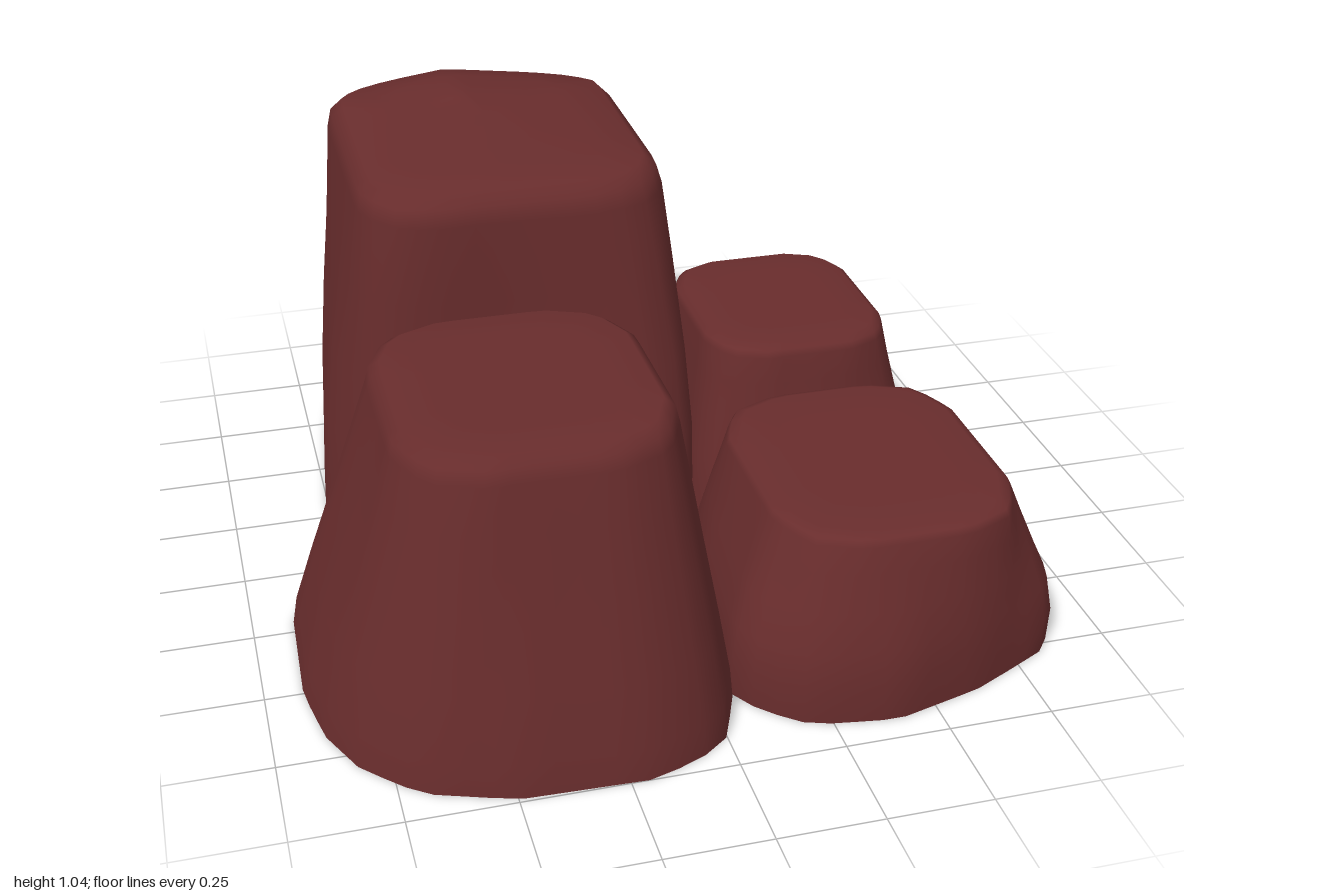
import * as THREE from 'three';

const SIDES = 48;
const BASE_Y = 0.018;

// distance from a centre to a closed outline along an angle
function reach(outline, [cx, cz], angle) {
  const dx = Math.cos(angle), dz = Math.sin(angle);
  let best = 0;
  outline.forEach(([x1, z1], i) => {
    const [x2, z2] = outline[(i + 1) % outline.length];
    const ex = x2 - x1, ez = z2 - z1, px = x1 - cx, pz = z1 - cz;
    const det = ex * dz - ez * dx;
    if (Math.abs(det) < 1e-9) return;
    const t = (ex * pz - ez * px) / det;
    const u = (dx * pz - dz * px) / det;
    if (t > 0 && u >= -1e-6 && u <= 1 + 1e-6) best = Math.max(best, t);
  });
  return best;
}

// rectangle with cut corners: the shoulder outline of a rock
function cutRect([x0, x1, z0, z1], c) {
  const d = c * 0.3;
  return [
    [x0 + c, z0], [x1 - c, z0], [x1 - d, z0 + d], [x1, z0 + c],
    [x1, z1 - c], [x1 - d, z1 - d], [x1 - c, z1], [x0 + c, z1],
    [x0 + d, z1 - d], [x0, z1 - c], [x0, z0 + c], [x0 + d, z0 + d],
  ];
}

// loft from the ground outline to the shoulder, then over the crown
function rockGeometry({ base, top, cut, height, profile, swell }) {
  const shoulder = cutRect(top, cut);
  const topC = [(top[0] + top[1]) / 2, (top[2] + top[3]) / 2];
  const xs = base.map(p => p[0]), zs = base.map(p => p[1]);
  const baseC = [(Math.min(...xs) + Math.max(...xs)) / 2, (Math.min(...zs) + Math.max(...zs)) / 2];
  const pos = [], idx = [];
  const put = (x, z, f) => pos.push(x, BASE_Y + f * (height(x, z) - BASE_Y), z);

  // each ring: height fraction, blend to shoulder, crown scale
  const rings = [...profile.map(([f, t]) => [f, t, 1]),
    [0.975, 1, 0.975], [1, 1, 0.9], [1, 1, 0.6], [1, 1, 0.3]];
  for (const [f, t, s] of rings) {
    for (let i = 0; i < SIDES; i++) {
      const a = (i / SIDES) * Math.PI * 2;
      const rb = reach(base, baseC, a), rt = reach(shoulder, topC, a) * s;
      const at = (k, trig) => (baseC[k] + rb * trig) * (1 - t) + (topC[k] + rt * trig) * t;
      const bulge = swell * Math.max(0, Math.cos(a)) * Math.sin(Math.PI * f);
      put(at(0, Math.cos(a)) + bulge, at(1, Math.sin(a)), f);
    }
  }
  for (let r = 0; r < rings.length - 1; r++) {
    for (let i = 0; i < SIDES; i++) {
      const a = r * SIDES + i, b = r * SIDES + (i + 1) % SIDES;
      const c = a + SIDES, d = b + SIDES;
      idx.push(a, c, b, b, c, d);
    }
  }
  // crown centre
  const last = (rings.length - 1) * SIDES, crown = pos.length / 3;
  put(topC[0], topC[1], 1);
  for (let i = 0; i < SIDES; i++) idx.push(crown, last + (i + 1) % SIDES, last + i);
  // underside, with its own vertices for a sharp rim
  const rim = pos.length / 3;
  pos.push(...pos.slice(0, SIDES * 3), baseC[0], BASE_Y, baseC[1]);
  for (let i = 0; i < SIDES; i++) idx.push(rim + SIDES, rim + i, rim + (i + 1) % SIDES);

  const g = new THREE.BufferGeometry();
  g.setAttribute('position', new THREE.Float32BufferAttribute(pos, 3));
  g.setIndex(idx);
  g.computeVertexNormals();
  return g;
}

const rocks = {
  tallBackRock: {
    base: [[-0.66, -0.92], [-0.6, -0.98], [-0.35, -1], [0.07, -0.98], [0.15, -0.93], [0.2, -0.83],
      [0.24, -0.63], [0.2, -0.4], [0.18, 0], [0.12, 0.09], [-0.3, 0.01], [-0.66, -0.05],
      [-0.72, -0.15], [-0.76, -0.28], [-0.71, -0.7]],
    top: [-0.64, 0.13, -0.88, 0.0], cut: 0.16, swell: 0.025,
    height: (x, z) => 1.06 - (z > -0.7 ? 0.085 * (z + 0.7) : 0.22 * (-0.7 - z))
      - 0.13 * Math.abs(x + 0.3) * Math.min(1, Math.max(0, -z / 0.7)),
    profile: [[0, 0], [0.12, 0.04], [0.28, 0.14], [0.5, 0.4], [0.72, 0.72], [0.93, 1]],
  },
  frontRightRock: {
    base: [[-0.9, 0.2], [-0.84, 0.08], [-0.75, 0.02], [-0.5, -0.03], [-0.1, 0.02], [0, 0.1], [0.04, 0.25],
      [0.07, 0.4], [0.06, 0.75], [0, 0.9], [-0.08, 0.96], [-0.2, 1], [-0.5, 0.99], [-0.7, 0.92],
      [-0.82, 0.8], [-0.88, 0.67], [-0.91, 0.5]],
    top: [-0.7, -0.06, 0.15, 0.87], cut: 0.18, swell: 0,
    height: (x, z) => 0.78 + 0.015 * z,
    profile: [[0, 0], [0.1, 0.06], [0.3, 0.28], [0.55, 0.57], [0.78, 0.83], [0.93, 1]],
  },
  frontLeftRock: {
    base: [[0.12, 0.2], [0.2, 0.12], [0.27, 0.09], [0.5, 0.11], [0.82, 0.19], [0.9, 0.32], [0.89, 0.5],
      [0.89, 0.65], [0.85, 0.77], [0.62, 0.88], [0.4, 0.94], [0.2, 0.91], [0.1, 0.83], [0.05, 0.75], [0.07, 0.4]],
    top: [0.16, 0.75, 0.16, 0.86], cut: 0.17, swell: 0,
    height: () => 0.47,
    profile: [[0, 0.03], [0.2, 0], [0.4, 0.14], [0.6, 0.45], [0.8, 0.78], [0.94, 1]],
  },
  backLeftRock: {
    base: [[0.22, -0.54], [0.37, -0.6], [0.55, -0.57], [0.74, -0.52], [0.81, -0.44], [0.83, -0.33],
      [0.81, -0.15], [0.8, 0], [0.74, 0.05], [0.5, 0.1], [0.35, 0.09], [0.22, 0.04], [0.18, -0.02], [0.19, -0.3]],
    top: [0.23, 0.72, -0.51, 0.05], cut: 0.13, swell: 0,
    height: () => 0.53,
    profile: [[0, 0], [0.15, 0.03], [0.35, 0.2], [0.6, 0.55], [0.8, 0.82], [0.94, 1]],
  },
};

export function createModel() {
  const group = new THREE.Group();
  group.name = 'rockCluster';
  const redStone = new THREE.MeshStandardMaterial({ color: 0x692d2d });
  redStone.name = 'red stone';
  for (const [name, spec] of Object.entries(rocks)) {
    const mesh = new THREE.Mesh(rockGeometry(spec), redStone);
    mesh.name = name;
    group.add(mesh);
  }
  return group;
}
